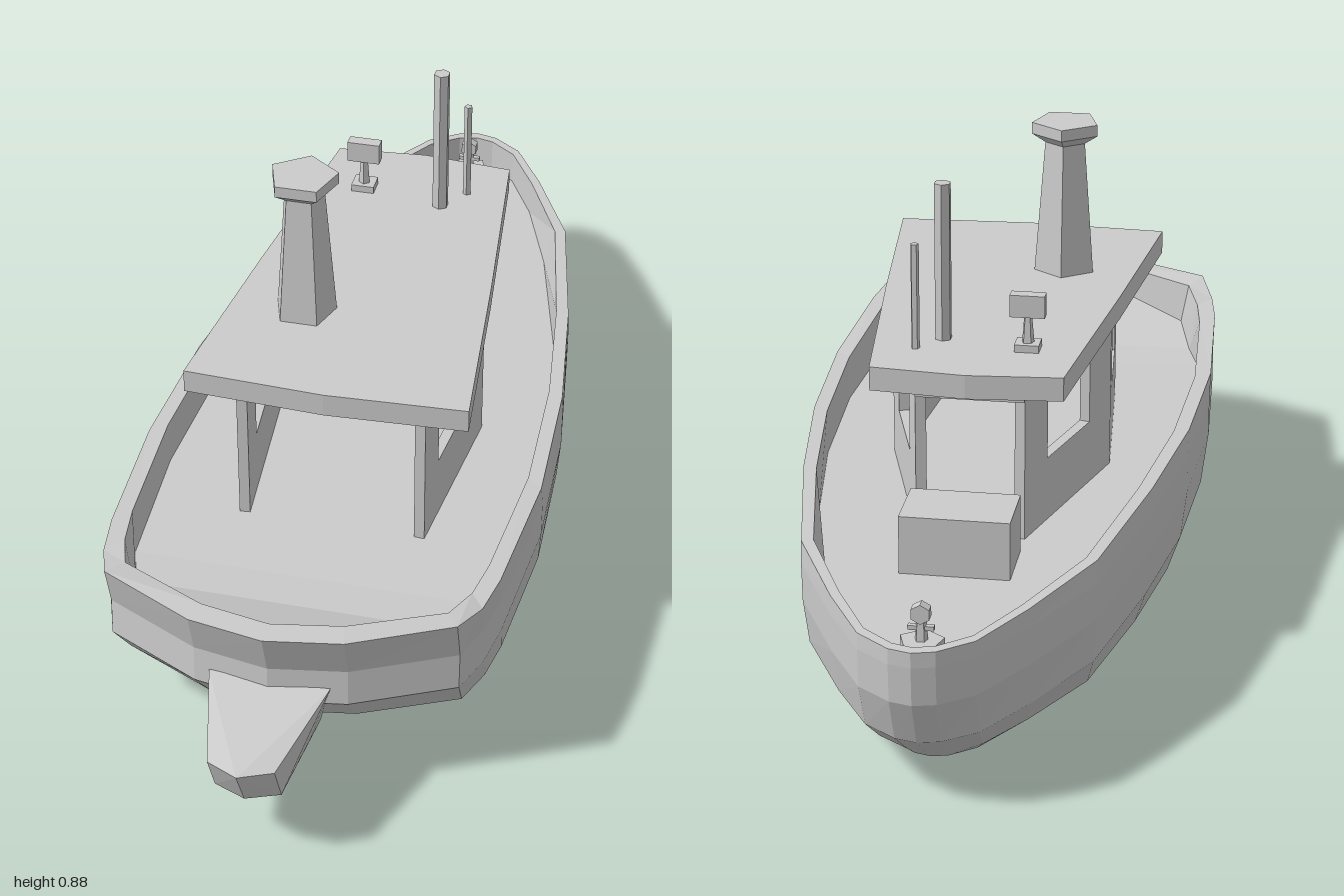
import * as THREE from 'three';
import { ConvexGeometry } from 'three/addons/geometries/ConvexGeometry.js';

const mat = new THREE.MeshStandardMaterial({ color: 0xcccccc, flatShading: true, side: THREE.DoubleSide });

function add(parent, name, geo, x = 0, y = 0, z = 0) {
  const m = new THREE.Mesh(geo, mat);
  m.name = name;
  m.position.set(x, y, z);
  parent.add(m);
  return m;
}

const lerpTable = (table, v) => {
  for (let i = 1; i < table.length; i++) {
    const [a, ya] = table[i - 1], [b, yb] = table[i];
    if (v <= b) return ya + (yb - ya) * Math.max(0, (v - a) / (b - a));
  }
  return table[table.length - 1][1];
};

// Half outline of the hull seen from above, bow to stern: [x, z]
const OUTLINE = [[0, -1], [0.04, -0.99], [0.1, -0.945], [0.17, -0.825], [0.262, -0.635], [0.325, -0.33],
  [0.365, -0.05], [0.38, 0.24], [0.362, 0.53], [0.348, 0.62], [0.32, 0.7], [0.14, 0.79], [0, 0.815]];
const railY = z => lerpTable([[-1, 0.315], [-0.5, 0.335], [0.24, 0.338], [0.45, 0.346], [0.63, 0.355], [0.69, 0.375]], z);
const deckY = z => lerpTable([[0.57, 0.25], [0.76, 0.33]], z);
// The deck pinches in at the bow and stern quarters
const deckHalf = z => lerpTable([[-0.84, 0.345], [-0.6, 0.315], [-0.3, 0.35], [0.5, 0.35], [0.6, 0.33], [0.7, 0.335]], z);

// Hull, rail and deck as one loft of closed rings: [half width, bow z, stern z, height]
function hullGeometry() {
  const levels = [
    [0, -0.65, 0.48, 0], [0.2, -0.73, 0.51, 0.012], [0.28, -0.82, 0.56, 0.025], [0.345, -0.86, 0.63, 0.055],
    [0.37, -0.955, 0.72, 0.125], [0.38, -0.995, 0.797, 0.215], [0.38, -1, 0.793, 0.287], [0.38, -1, 0.822, railY],
    [0.35, -0.98, 0.775, railY], [deckHalf, -0.98, 0.77, deckY], [0, -0.98, 0.77, deckY],
  ];
  const at = (v, z) => typeof v === 'function' ? v(z) : v;
  const loop = [...OUTLINE, ...OUTLINE.slice(1, -1).reverse().map(([x, z]) => [-x, z])];
  const n = loop.length, pos = [], idx = [];
  levels.forEach(([w, bow, stern, h], i) => {
    loop.forEach(([x, z], j) => {
      const pz = bow + (stern - bow) * (z + 1) / 1.815;
      pos.push(x / 0.38 * at(w, pz), at(h, pz), pz);
      if (!i) return;
      const a = (i - 1) * n + j, b = (i - 1) * n + (j + 1) % n;
      idx.push(a, a + n, b, b, a + n, b + n);
    });
  });
  const g = new THREE.BufferGeometry();
  g.setAttribute('position', new THREE.Float32BufferAttribute(pos, 3));
  g.setIndex(idx);
  const flat = g.toNonIndexed();
  flat.computeVertexNormals();
  return flat;
}

// Upright wall panel between two plan points, with a centred window
function wallPanel(parent, name, [x0, z0], [x1, z1], margin) {
  const len = Math.hypot(x1 - x0, z1 - z0), y0 = 0.245, y1 = 0.548;
  const rect = (P, a, b, c, d) => new P([[a, c], [b, c], [b, d], [a, d]].map(p => new THREE.Vector2(...p)));
  const shape = rect(THREE.Shape, 0, len, y0, y1);
  shape.holes.push(rect(THREE.Path, margin, len - margin, 0.373, 0.505));
  const g = new THREE.ExtrudeGeometry(shape, { depth: 0.02, bevelEnabled: false }).translate(0, 0, -0.02);
  add(parent, name, g, x0, 0, z0).rotation.y = Math.atan2(z0 - z1, x1 - x0);
}

export function createModel() {
  const boat = new THREE.Group();
  boat.name = 'boat';
  add(boat, 'hull', hullGeometry());

  // Stern platform
  const arm = [[0, 0.218, 1], [0, 0.128, 0.955]];
  for (const s of [-1, 1]) {
    arm.push([s * 0.11, 0.25, 0.78], [s * 0.1, 0.22, 0.7], [s * 0.06, 0.215, 0.97],
      [s * 0.06, 0.127, 0.93], [s * 0.065, 0.098, 0.755], [s * 0.06, 0.06, 0.66]);
  }
  add(boat, 'sternPlatform', new ConvexGeometry(arm.map(p => new THREE.Vector3(...p))));

  // Cabin: two side walls bulging amidships, open ends, front header
  const cabin = new THREE.Group();
  cabin.name = 'cabin';
  boat.add(cabin);
  const plan = [[0.178, 0.335], [0.211, -0.03], [0.1, -0.4]];
  for (const s of [1, -1]) {
    const p = plan.map(([x, z]) => [s * x, z]);
    const side = s > 0 ? 'left' : 'right';
    [[p[0], p[1], 0.083, 'RearWall'], [p[1], p[2], 0.099, 'FrontWall']].forEach(([a, b, m, name]) =>
      wallPanel(cabin, side + name, s > 0 ? a : b, s > 0 ? b : a, m));
  }
  add(cabin, 'frontHeader', new THREE.BoxGeometry(0.2, 0.028, 0.02), 0, 0.534, -0.395);

  // Roof
  const half = [[0.265, 0.372], [0.225, -0.015], [0.175, -0.44]];
  const outline = [[0, 0.385], ...half, [0, -0.455], ...half.slice().reverse().map(([x, z]) => [-x, z])];
  const roof = new THREE.ExtrudeGeometry(new THREE.Shape(outline.map(([x, z]) => new THREE.Vector2(x, -z))),
    { depth: 0.045, bevelEnabled: false }).rotateX(-Math.PI / 2);
  add(cabin, 'roof', roof, 0, 0.542, 0);

  // Five-sided funnel with flared cap
  const profile = [[0, 0], [0.06, 0], [0.04, 0.257], [0.066, 0.275], [0.066, 0.297], [0, 0.297]];
  add(boat, 'funnel', new THREE.LatheGeometry(profile.map(p => new THREE.Vector2(...p)), 5, Math.PI), -0.1, 0.587, 0.13);

  // Mast and aerial
  add(boat, 'mast', new THREE.CylinderGeometry(0.016, 0.016, 0.3, 6), 0.068, 0.735, -0.28);
  add(boat, 'aerial', new THREE.CylinderGeometry(0.008, 0.008, 0.2, 5), 0.11, 0.686, -0.335);

  // Roof searchlight
  const lamp = new THREE.Group();
  lamp.name = 'searchlight';
  lamp.position.set(-0.092, 0.587, -0.31);
  boat.add(lamp);
  add(lamp, 'lampBase', new THREE.BoxGeometry(0.045, 0.014, 0.04), 0, 0.007, 0);
  add(lamp, 'lampStem', new THREE.CylinderGeometry(0.007, 0.012, 0.06, 5), 0, 0.04, 0);
  add(lamp, 'lampHead', new THREE.BoxGeometry(0.064, 0.042, 0.024), 0, 0.085, 0);

  // Foredeck locker
  add(boat, 'locker', new THREE.BoxGeometry(0.2, 0.115, 0.125), 0, 0.303, -0.512);

  // Bow bollard
  const bollard = new THREE.Group();
  bollard.name = 'bollard';
  bollard.position.set(0, 0.248, -0.9);
  boat.add(bollard);
  add(bollard, 'bollardBase', new THREE.CylinderGeometry(0.04, 0.04, 0.042, 5), 0, 0.021, 0);
  add(bollard, 'bollardPost', new THREE.CylinderGeometry(0.009, 0.012, 0.045, 5), 0, 0.06, 0);
  add(bollard, 'bollardHead', new THREE.CylinderGeometry(0.018, 0.018, 0.02, 6), 0, 0.092, 0).rotation.x = Math.PI / 2;
  add(bollard, 'bollardBar', new THREE.BoxGeometry(0.045, 0.008, 0.01), 0, 0.065, 0);

  return boat;
}
